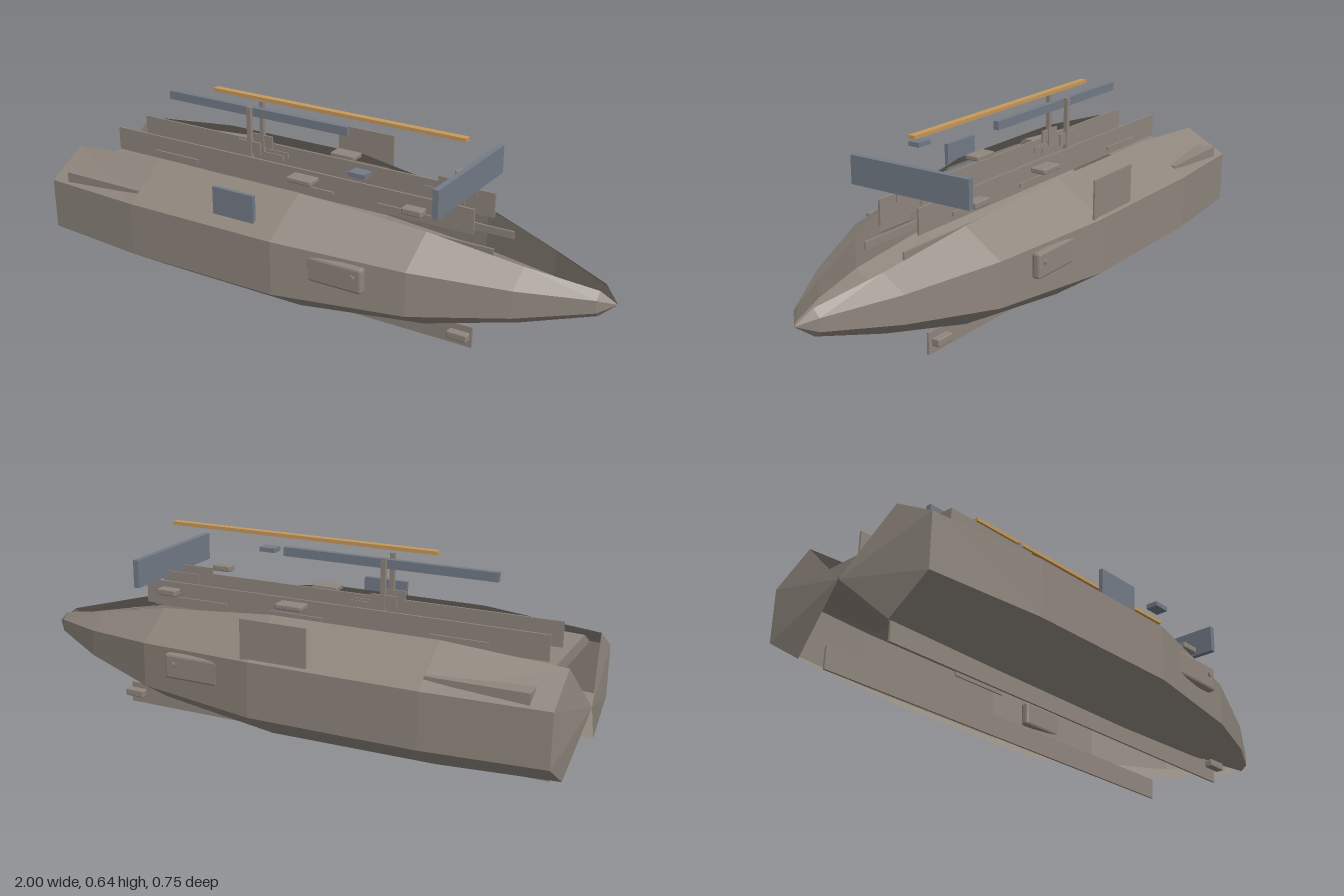
import * as THREE from 'three';
import { RoundedBoxGeometry } from 'three/addons/geometries/RoundedBoxGeometry.js';

export function createModel() {
  const model = new THREE.Group();
  model.name = 'slenderCraft';
  const material = (name, color, extra = {}) => {
    const m = new THREE.MeshStandardMaterial({ color, ...extra });
    m.name = name;
    return m;
  };
  const taupe = material('taupe hull', 0x8f867d, { side: THREE.DoubleSide, flatShading: true });
  const slate = material('slate blue', 0x737b87);
  const tan = material('tan', 0xc6995c);

  // Box given by its extents on each axis
  function box(name, mat, [x0, x1], [y0, y1], [z0, z1], round = 0) {
    const size = [x1 - x0, y1 - y0, z1 - z0];
    const geo = round ? new RoundedBoxGeometry(...size, 1, round) : new THREE.BoxGeometry(...size);
    const mesh = new THREE.Mesh(geo, mat);
    mesh.position.set((x0 + x1) / 2, (y0 + y1) / 2, (z0 + z1) / 2);
    mesh.name = name;
    model.add(mesh);
    return mesh;
  }
  // The same box on both sides
  function pair(name, mat, x, y, [z0, z1], round = 0) {
    box(name + 'Left', mat, x, y, [z0, z1], round);
    box(name + 'Right', mat, x, y, [-z1, -z0], round);
  }

  // Hull sections: x, inner z, outer z, top, upper side, lower side, bottom
  const sections = [
    [-1.0, 0, 0, 0.205, 0.205, 0.205, 0.205],
    [-0.97, 0.19, 0.338, 0.385, 0.302, 0.125, 0.03],
    [-0.58, 0.205, 0.374, 0.418, 0.31, 0.125, 0.015],
    [-0.01, 0.205, 0.374, 0.418, 0.31, 0.125, 0.012],
    [0.43, 0.16, 0.29, 0.37, 0.283, 0.133, 0.05],
    [0.73, 0.092, 0.17, 0.3, 0.25, 0.158, 0.11],
    [0.95, 0.027, 0.05, 0.25, 0.226, 0.184, 0.165],
    [1.0, 0, 0, 0.205, 0.205, 0.205, 0.205],
  ];
  // Each half hull is a strip of three facets, open on the inner side
  for (const side of [1, -1]) {
    const pos = [];
    const corner = ([x, zi, zo, ...ys], k) => [x, ys[k], side * (k === 0 || k === 3 ? zi : zo)];
    for (let i = 0; i < sections.length - 1; i++) {
      for (let k = 0; k < 3; k++) {
        const a = corner(sections[i], k), b = corner(sections[i], k + 1);
        const c = corner(sections[i + 1], k + 1), d = corner(sections[i + 1], k);
        const tris = [];
        if (i > 0) tris.push([a, b, c]);
        else tris.push([a, c, d]);
        if (i > 0 && i < sections.length - 2) tris.push([a, c, d]);
        for (const [p, q, r] of tris) pos.push(...(side > 0 ? [p, q, r] : [p, r, q]).flat());
      }
    }
    const geo = new THREE.BufferGeometry();
    geo.setAttribute('position', new THREE.Float32BufferAttribute(pos, 3));
    geo.computeVertexNormals();
    const hull = new THREE.Mesh(geo, taupe);
    hull.name = side > 0 ? 'hullLeft' : 'hullRight';
    model.add(hull);
  }

  // Stern deck reaching through both hull sides
  box('sternDeck', taupe, [-0.9, -0.58], [0.3, 0.345], [-0.335, 0.335]);

  // Long rails above and below
  pair('upperRail', taupe, [-0.88, 0.55], [0.357, 0.441], [0.072, 0.079]);
  pair('innerRail', taupe, [-0.58, 0.62], [0.3, 0.325], [0.072, 0.079]);
  pair('keelRail', taupe, [-0.92, 0.59], [0, 0.072], [0.133, 0.14]);
  pair('keelPod', taupe, [0.52, 0.59], [0.034, 0.06], [0.152, 0.18], 0.004);

  // Small strips along the rails
  for (const x of [-0.6, -0.04, 0.315]) {
    pair('railStrip', taupe, [x - 0.095, x + 0.095], [0.383, 0.396], [0.095, 0.101]);
  }
  pair('sternTab', taupe, [-0.62, -0.56], [0.345, 0.352], [0.172, 0.178]);

  // Deck blocks and bow plates
  pair('deckBlock', taupe, [-0.09, 0.005], [0.424, 0.442], [0.108, 0.162], 0.004);
  pair('bowBlock', taupe, [0.36, 0.43], [0.427, 0.449], [0.162, 0.2], 0.004);
  pair('bowPlate', taupe, [0.36, 0.5], [0.425, 0.47], [0.046, 0.05]);

  // Side pods with a round knob
  pair('sidePod', taupe, [0.11, 0.31], [0.198, 0.283], [0.32, 0.35], 0.008);
  for (const side of [1, -1]) {
    const knob = new THREE.Mesh(new THREE.CylinderGeometry(0.009, 0.009, 0.01, 10), taupe);
    knob.rotation.x = Math.PI / 2;
    knob.position.set(0.278, 0.25, side * 0.351);
    knob.name = side > 0 ? 'podKnobLeft' : 'podKnobRight';
    model.add(knob);
  }

  // Twin masts and their feet
  pair('mast', taupe, [-0.33, -0.314], [0.42, 0.605], [0.03, 0.044]);
  pair('mastFoot', taupe, [-0.37, -0.28], [0.44, 0.482], [0.034, 0.04]);
  pair('mastCleat', taupe, [-0.28, -0.2], [0.425, 0.445], [0.013, 0.017]);

  // Spars and crosswise wing
  box('spine', slate, [-0.69, 0.05], [0.562, 0.592], [-0.01, 0.01]);
  box('crossWing', slate, [0.482, 0.502], [0.45, 0.545], [-0.229, 0.229]);
  box('topSpar', tan, [-0.49, 0.48], [0.625, 0.637], [-0.012, 0.012]);
  box('smallBlock', slate, [0.18, 0.24], [0.517, 0.533], [0.17, 0.214]);

  // Side panels
  box('leftPanel', slate, [-0.26, -0.1], [0.335, 0.43], [0.32, 0.334]);
  box('rightPanel', taupe, [-0.21, 0.02], [0.288, 0.445], [-0.364, -0.358]);

  return model;
}
